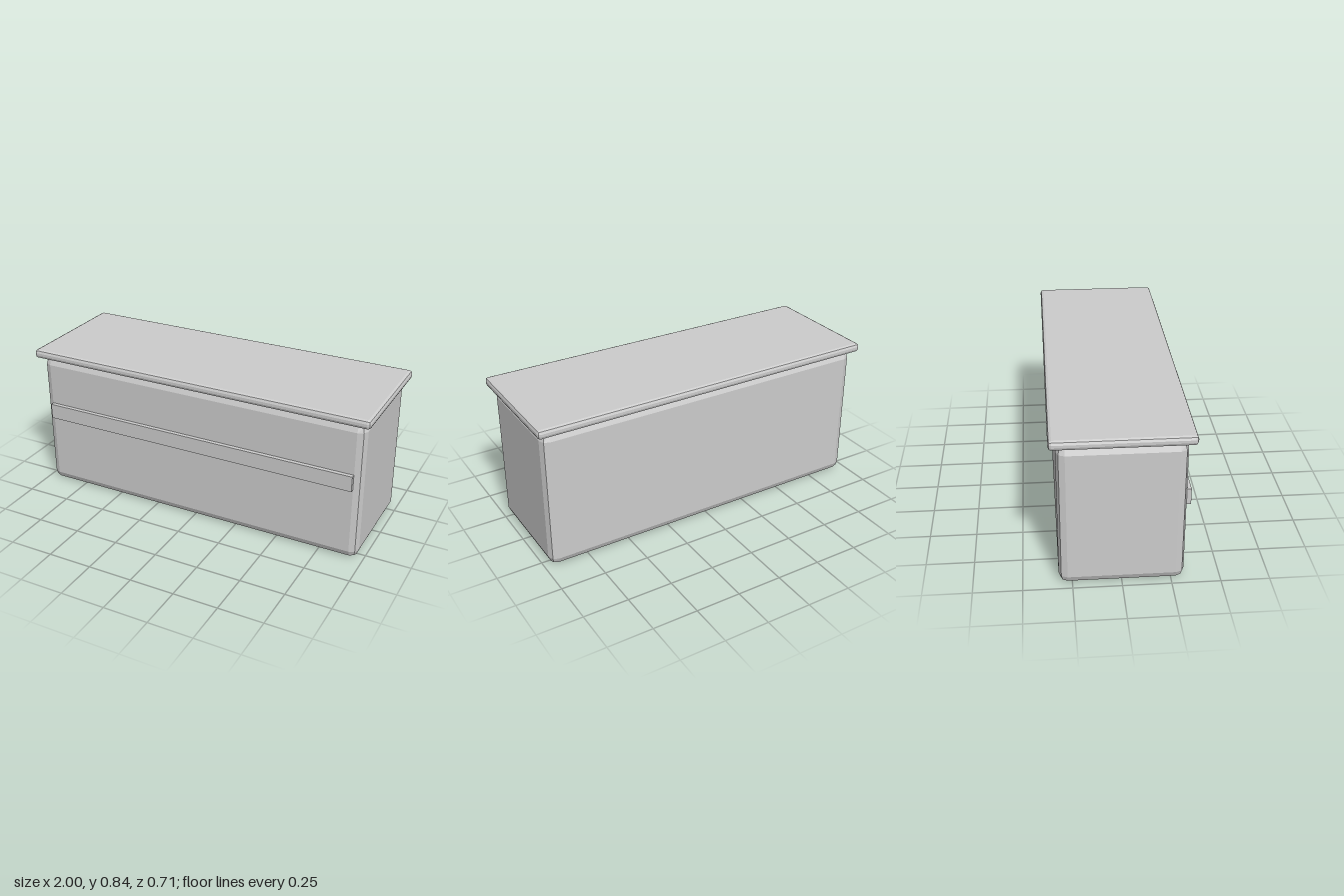
import * as THREE from 'three';
import { RoundedBoxGeometry } from 'three/addons/geometries/RoundedBoxGeometry.js';

export function createModel() {
  const model = new THREE.Group();
  model.name = 'chest';

  const grey = new THREE.MeshStandardMaterial({ color: 0xcccccc });
  grey.name = 'lightGrey';

  const add = (name, geometry, x, y, z) => {
    const mesh = new THREE.Mesh(geometry, grey);
    mesh.name = name;
    mesh.position.set(x, y, z);
    model.add(mesh);
  };

  // Box with two-facet bevels; unshared vertices give flat facets
  const bevelBox = (w, h, d, radius) => {
    const box = new RoundedBoxGeometry(w, h, d, 1, radius);
    const flat = box.index ? box.toNonIndexed() : box;
    flat.computeVertexNormals();
    return flat;
  };

  // Body
  add('body', bevelBox(1.938, 0.792, 0.636, 0.044), 0, 0.396, 0);

  // Overhanging lid
  add('lid', bevelBox(2, 0.05, 0.706, 0.018), 0, 0.817, 0);

  // Raised strip along the front
  add('frontStrip', new THREE.BoxGeometry(1.848, 0.087, 0.044), 0, 0.466, 0.319);

  return model;
}
